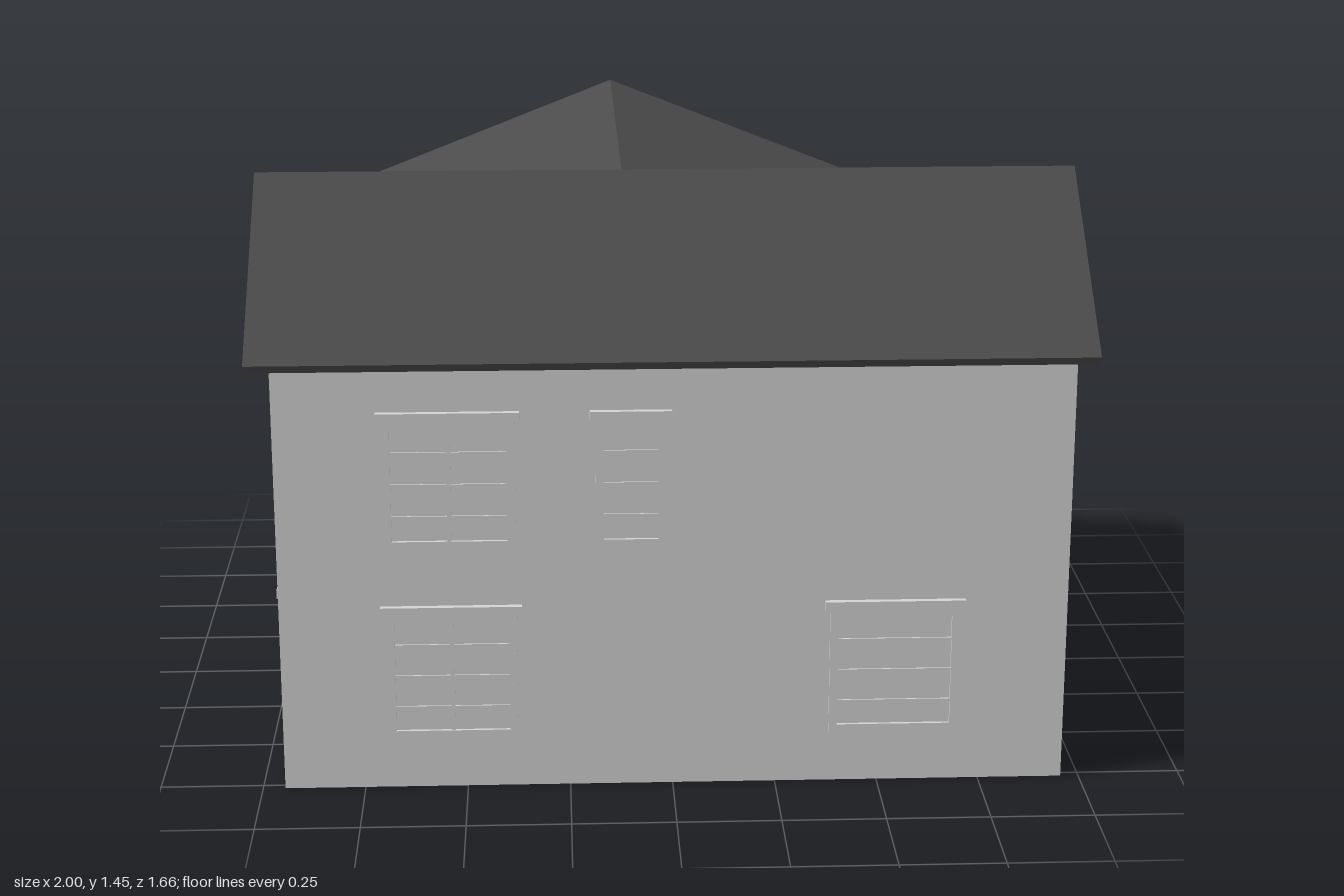
import * as THREE from 'three';

const mat = (name, color) => Object.assign(new THREE.MeshStandardMaterial({ color }), { name });

export function createModel() {
  const wall = mat('wall grey', 0xd4d4d4);
  const slate = mat('roof slate', 0x4c4c4c);
  const wood = mat('brown wood', 0xb8926f);
  const metal = mat('dark metal', 0x3a3a3a);

  const house = new THREE.Group();
  house.name = 'house';

  const add = (parent, name, geo, material) => {
    const m = new THREE.Mesh(geo, material);
    m.name = name;
    parent.add(m);
    return m;
  };
  // box given by its minimum and maximum corners
  const box = (parent, name, material, x0, x1, y0, y1, z0, z1) =>
    add(parent, name, new THREE.BoxGeometry(x1 - x0, y1 - y0, z1 - z0), material)
      .position.set((x0 + x1) / 2, (y0 + y1) / 2, (z0 + z1) / 2);

  // Walls: two gabled prisms forming an offset T
  const prism = (pts, depth) => new THREE.ExtrudeGeometry(
    new THREE.Shape(pts.map(([x, y]) => new THREE.Vector2(x, y))), { depth, bevelEnabled: false });
  const BASE = 0.003;
  const front = prism([[-0.775, BASE], [0.01, BASE], [0.01, 1.09], [-0.385, 1.417], [-0.775, 1.095]], 1.9);
  front.rotateY(Math.PI / 2).translate(-0.945, 0, 0);
  add(house, 'frontWingWalls', front, wall);
  const rear = prism([[-0.945, BASE], [0.73, BASE], [0.73, 1.09], [-0.11, 1.422], [-0.945, 1.09]], 1.16);
  rear.translate(0, 0, -0.775);
  add(house, 'rearWingWalls', rear, wall);

  // Floor plates, set in from the walls
  box(house, 'frontFloor', wood, -0.915, 0.925, 0, 0.006, 0.02, 0.745);
  box(house, 'rearFloor', wood, -0.915, 0.7, 0, 0.006, -0.745, 0.02);
  box(house, 'leftThreshold', wood, 0.7, 0.736, 0, 0.014, -0.31, -0.09);
  box(house, 'rightThreshold', wood, -0.955, -0.915, 0, 0.014, -0.21, 0.02);

  // Roof slab: flat polygon (counter-clockwise from outside) thickened inwards
  const slab = (name, corners, t = 0.027) => {
    const top = corners.map(c => new THREE.Vector3(...c));
    const n = new THREE.Vector3().crossVectors(
      top[1].clone().sub(top[0]), top[2].clone().sub(top[0])).normalize();
    if (n.y < 0) { top.reverse(); n.negate(); }
    const low = top.map(p => p.clone().addScaledVector(n, -t));
    const pos = [];
    const tri = (...ps) => ps.forEach(p => pos.push(p.x, p.y, p.z));
    top.forEach((p, i) => {
      const j = (i + 1) % top.length;
      if (i > 0 && j > 0) {
        tri(top[0], p, top[j]);
        tri(low[0], low[j], low[i]);
      }
      tri(p, low[i], low[j]);
      tri(p, low[j], top[j]);
    });
    const g = new THREE.BufferGeometry();
    g.setAttribute('position', new THREE.Float32BufferAttribute(pos, 3));
    g.computeVertexNormals();
    add(house, name, g, slate);
  };
  const RIDGE = 1.45, RZ = 0.383, RX = -0.11;
  slab('frontRoofSlope', [[-1, RIDGE, RZ], [1, RIDGE, RZ], [1, 1.088, 0.83], [-1, 1.088, 0.83]]);
  slab('frontRoofBackSlope', [[-1, RIDGE, RZ], [1, RIDGE, RZ], [1, 1.095, -0.055], [-1, 1.095, -0.055]]);
  // rear slopes are trimmed along the valleys
  for (const [name, x] of [['rearRoofLeftSlope', 0.765], ['rearRoofRightSlope', -0.983]])
    slab(name, [[RX, RIDGE, RZ], [x, 1.106, -0.041], [x, 1.106, -0.83], [RX, RIDGE, -0.83]]);

  // Fittings are built facing +z and then set on a wall
  const sides = {
    front: u => [u, 0.775, 0],
    back: u => [u, -0.775, Math.PI],
    leftFront: u => [0.955, u, Math.PI / 2],
    leftRear: u => [0.73, u, Math.PI / 2],
    right: u => [-0.945, u, -Math.PI / 2],
  };
  const fitting = (name, side, u, y) => {
    const g = new THREE.Group();
    const [x, z, turn] = sides[side](u);
    g.name = name;
    g.position.set(x, y, z);
    g.rotation.y = turn;
    house.add(g);
    return g;
  };

  const glazing = (g, w, h, rim, cols, rows) => {
    const a = w / 2;
    for (const s of [-1, 1])
      box(g, 'frameSide', wall, s * a - (s > 0 ? rim : 0), s * a + (s < 0 ? rim : 0), 0, h, 0, 0.008);
    box(g, 'frameBottom', wall, rim - a, a - rim, 0, rim, 0, 0.008);
    box(g, 'frameTop', wall, rim - a, a - rim, h - rim, h, 0, 0.008);
    for (let i = 1; i < cols; i++) {
      const x = -a + w * i / cols;
      box(g, 'uprightBar', wall, x - 0.005, x + 0.005, rim, h - rim, 0, 0.005);
    }
    for (let i = 1; i < rows; i++) {
      const y = h * i / rows;
      box(g, 'crossBar', wall, rim - a, a - rim, y - 0.003, y + 0.003, 0, 0.004);
    }
  };

  const windowOn = (side, u, y, w, h, cols, rows, over = 0.012) => {
    const g = fitting('window', side, u, y);
    glazing(g, w, h, 0.02, cols, rows);
    box(g, 'lintel', wall, -w / 2 - over, w / 2 + over, h, h + 0.022, 0, 0.015);
  };
  const LOW = 0.132, HIGH = 0.617, H = 0.318, WIDE = 0.315, SLIM = 0.17;
  windowOn('front', -0.532, HIGH, WIDE, H, 2, 4);
  windowOn('front', -0.1, HIGH, SLIM, H, 1, 4);
  windowOn('front', -0.532, LOW, WIDE, H, 2, 4);
  windowOn('front', 0.537, LOW, WIDE, H, 1, 4);
  for (const y of [LOW, HIGH]) windowOn('leftFront', 0.385, y, WIDE, H, 2, 4);
  windowOn('leftRear', -0.203, 0.77, 0.15, 0.145, 2, 2, 0.025);
  windowOn('back', -0.532, HIGH, WIDE, H, 1, 4);
  windowOn('back', 0.505, LOW, SLIM, H, 1, 4);
  windowOn('right', -0.387, HIGH, WIDE, H, 3, 4);
  for (const z of [0.163, 0.36, 0.557]) windowOn('right', z, LOW, SLIM, H, 2, 4);

  // Doors
  const handle = (g, x) => box(g, 'handle', metal, x - 0.017, x + 0.017, 0.135, 0.143, 0, 0.018);
  const sideDoor = fitting('sideDoor', 'leftRear', -0.2, 0.015);
  box(sideDoor, 'doorPanel', wood, -0.11, 0.11, 0, 0.342, 0, 0.006);
  handle(sideDoor, -0.065);
  const glazedDoor = fitting('glazedDoor', 'right', -0.1, 0.015);
  glazing(glazedDoor, 0.22, 0.342, 0.022, 1, 4);
  handle(glazedDoor, -0.07);

  return house;
}
